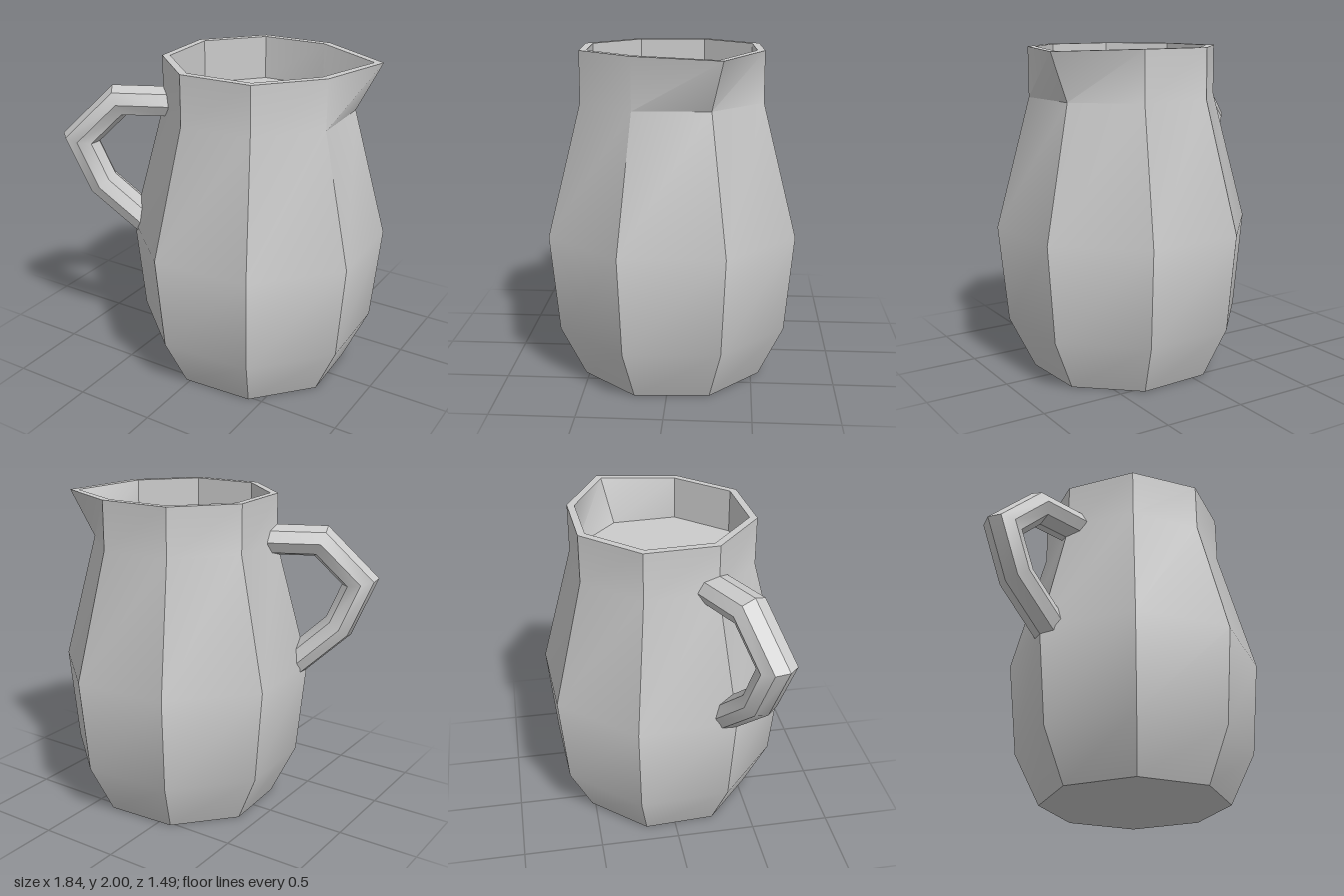
import * as THREE from 'three';
import { toCreasedNormals } from 'three/addons/utils/BufferGeometryUtils.js';

const SIDES = 8;

// Skins a list of 8-point rings and closes both ends
function loft(rings) {
  const index = [];
  for (let k = 0; k < rings.length - 1; k++) {
    for (let i = 0; i < SIDES; i++) {
      const j = (i + 1) % SIDES;
      const a = k * SIDES + i, b = k * SIDES + j;
      index.push(a, b, b + SIDES, a, b + SIDES, a + SIDES);
    }
  }
  const last = (rings.length - 1) * SIDES;
  for (let i = 1; i < SIDES - 1; i++) {
    index.push(0, i + 1, i);
    index.push(last, last + i, last + i + 1);
  }
  const geometry = new THREE.BufferGeometry().setFromPoints(rings.flat());
  geometry.setIndex(index);
  return toCreasedNormals(geometry, THREE.MathUtils.degToRad(35));
}

// Octagonal ring whose first corner may be drawn out into the spout
function bodyRing([radius, y, spout = radius, spoutY = y]) {
  return Array.from({ length: SIDES }, (_, i) => {
    const a = (i / SIDES) * Math.PI * 2;
    const r = i === 0 ? spout : radius;
    return new THREE.Vector3(r * Math.cos(a), i === 0 ? spoutY : y, -r * Math.sin(a));
  });
}

// Mitred octagonal rings along a path in the xy plane
function handleRings(path, thick, wide) {
  return path.map((p, k) => {
    const before = p.clone().sub(path[Math.max(k - 1, 0)]).normalize();
    const after = path[Math.min(k + 1, path.length - 1)].clone().sub(p).normalize();
    const t = before.clone().add(after).normalize();
    const miter = thick / t.dot(k === 0 ? after : before);
    return Array.from({ length: SIDES }, (_, i) => {
      const a = (i / SIDES) * Math.PI * 2;
      const n = Math.cos(a) * miter, z = Math.sin(a) * wide;
      // The upper end follows the corner of the wall
      const tuck = k === 0 ? Math.abs(z) * 0.4 : 0;
      return new THREE.Vector3(p.x - t.y * n + tuck, p.y + t.x * n, z);
    });
  });
}

export function createModel() {
  const material = new THREE.MeshStandardMaterial({ color: 0xcccccc });
  const jug = new THREE.Group();
  jug.name = 'jug';

  const add = (name, geometry) => {
    const mesh = new THREE.Mesh(geometry, material);
    mesh.name = name;
    jug.add(mesh);
  };

  // Outer wall, rim with spout, inner wall and inner floor
  const profile = [
    [0.58, 0], [0.735, 0.32], [0.79, 0.91], [0.578, 1.7],
    [0.578, 2, 0.725, 1.99], [0.53, 2, 0.67, 1.99], [0.53, 1.73],
  ];
  add('body', loft(profile.map(bodyRing)));

  // Handle opposite the spout
  const path = [[-0.56, 1.715], [-0.851, 1.715], [-1.1, 1.47], [-0.979, 1.18], [-0.7, 0.925]]
    .map(([x, y]) => new THREE.Vector2(x, y));
  add('handle', loft(handleRings(path, 0.095, 0.118)));

  // Spout turned toward the back left
  jug.rotation.y = THREE.MathUtils.degToRad(25.7);
  jug.position.x = 0.167;

  const model = new THREE.Group();
  model.name = 'pitcher';
  model.add(jug);
  return model;
}
